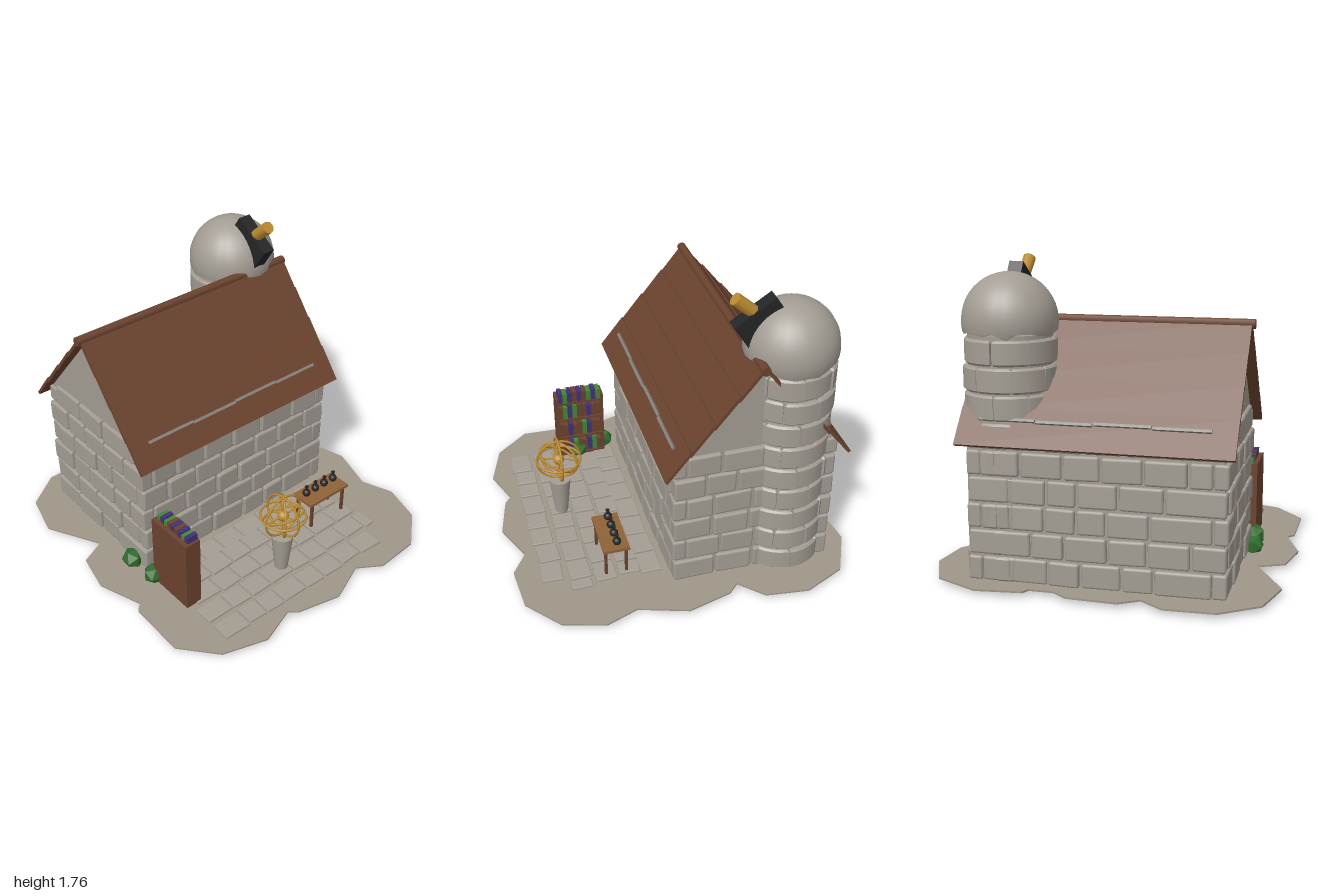
import * as THREE from 'three';
import { RoundedBoxGeometry } from 'three/addons/geometries/RoundedBoxGeometry.js';

const mat = (name, color, extra = {}) => {
  const m = new THREE.MeshStandardMaterial({ color, ...extra });
  m.name = name;
  return m;
};

export function createModel() {
  const M = {
    stone: mat('stone', 0xa39d93),
    dirt: mat('dirt', 0xa0978a),
    wood: mat('brown wood', 0x6b432e),
    bench: mat('light wood', 0x8f6238),
    gold: mat('gold', 0xbd8c30),
    black: mat('black', 0x252525),
    green: mat('green', 0x3f8a35),
    leaf: mat('leaf green', 0x2f6b2c, { flatShading: true }),
    purple: mat('purple', 0x43307a),
    metal: mat('grey metal', 0x85847e),
  };
  const model = new THREE.Group();
  let seed = 7;
  const rnd = (a = 0, b = 1) => {
    seed = (seed * 16807) % 2147483647;
    return a + (b - a) * (seed / 2147483647);
  };
  const group = (name, parent = model) => {
    const g = new THREE.Group();
    g.name = name;
    parent.add(g);
    return g;
  };
  const add = (parent, name, geo, m, x = 0, y = 0, z = 0) => {
    const mesh = new THREE.Mesh(geo, m);
    mesh.name = name;
    mesh.position.set(x, y, z);
    parent.add(mesh);
    return mesh;
  };
  const box = (parent, name, m, w, h, d, x, y, z) =>
    add(parent, name, new THREE.BoxGeometry(w, h, d), m, x, y, z);

  // Thin ground slab with a scalloped rim
  const rim = [[-.96, -.58], [-.89, -.84], [-.68, -.99], [-.4, -1], [-.27, -.91], [-.16, -.98],
    [.12, -.97], [.2, -.91], [.34, -.91], [.36, -.95], [.62, -.98], [.87, -.86], [.98, -.62], [.95, -.37],
    [.82, -.24], [.88, -.18], [.95, .08], [.86, .36], [.93, .55], [.86, .79], [.66, .96], [.39, .98],
    [.25, .89], [.01, .99], [-.25, .93], [-.3, .89], [-.52, .97], [-.78, .89], [-.95, .69],
    [-.94, .34], [-.9, .3], [-.99, .04], [-.94, -.19], [-.79, -.26]];
  const slab = new THREE.ExtrudeGeometry(
    new THREE.Shape(rim.map(([x, z]) => new THREE.Vector2(x, -z))), { depth: .01, bevelEnabled: false });
  slab.rotateX(-Math.PI / 2);
  add(model, 'ground', slab, M.dirt, 0, .036, 0);

  // Paving stones in staggered rows
  const paving = group('paving');
  [[.21, -.66, .62], [.33, -.62, .58], [.47, -.66, .6], [.615, -.7, .63], [.765, -.7, .55]].forEach(([z, x0, x1]) => {
    for (let x = x0; x < x1 - .06;) {
      const w = Math.min(rnd(.13, .185), x1 - x);
      const tile = add(paving, 'pavingStone', new RoundedBoxGeometry(w - .012, .02, .125, 1, .005), M.stone,
        x + w / 2, .048, z + rnd(-.006, .006));
      tile.rotation.y = rnd(-.05, .05);
      x += w;
    }
  });

  // House core with gable ends
  const house = group('house');
  const profile = new THREE.Shape([[.455, .04], [.455, .87], [0, 1.405], [-.455, .87], [-.455, .04]]
    .map(([z, y]) => new THREE.Vector2(-z, y)));
  const core = new THREE.ExtrudeGeometry(profile, { depth: 1.37, bevelEnabled: false });
  core.rotateY(Math.PI / 2);
  add(house, 'wallCore', core, M.stone, -.685, 0, -.365);

  // Stone courses; corners interlock on alternate rows
  const ROW = .146, BASE = .045;
  const wall = (name, half, reach, x, z, turn, low) => {
    const g = group(name, house);
    g.position.set(x, 0, z);
    g.rotation.y = turn;
    for (let r = 0; r < 6; r++) {
      const end = half - ((r + low) % 2 ? .075 : 0);
      const h = (low && r === 5 ? .1 : ROW - .012);
      for (let u = -end; u < end - .01;) {
        let w = rnd(.16, .26);
        if (end - u - w < .1) w = end - u;
        const s = add(g, 'wallStone', new RoundedBoxGeometry(w - .012, h, .08, 1, .014), M.stone,
          u + w / 2, BASE + r * ROW + h / 2, reach - .04 + rnd(-.005, .006));
        s.rotation.set(rnd(-.03, .03), rnd(-.03, .03), rnd(-.02, .02));
        u += w;
      }
    }
  };
  wall('frontWall', .705, .475, 0, -.365, 0, 1);
  wall('backWall', .705, .475, 0, -.365, Math.PI, 1);
  wall('leftWall', .475, .705, 0, -.365, Math.PI / 2, 0);
  wall('rightWall', .475, .705, 0, -.365, -Math.PI / 2, 0);

  // Roof: two slopes of overlapping planks, each with a metal rail
  const roof = group('roof');
  for (const turn of [0, Math.PI]) {
    const side = group(turn ? 'backSlope' : 'frontSlope', roof);
    side.position.set(0, 1.425, -.365);
    side.rotation.y = turn;
    const slope = group('slope', side);
    slope.rotation.x = .864;
    for (let i = 0; i < 4; i++) {
      const p = box(slope, 'roofPlank', M.wood, 1.49, .018, .225, 0, 0, .105 + i * .2);
      p.rotation.x = .035;
    }
    for (let i = 0; i < 4; i++)
      box(slope, 'roofRail', M.metal, .305, .014, .016, -.475 + i * .312, .02, .665 + (i % 2) * .006);
  }
  const ridge = add(roof, 'ridgeBeam', new THREE.CylinderGeometry(.027, .027, 1.515, 8), M.wood, -.005, 1.42, -.365);
  ridge.rotation.z = Math.PI / 2;

  // Round tower of curved stones
  const tower = group('tower');
  tower.position.set(.53, 0, -.585);
  add(tower, 'towerCore', new THREE.CylinderGeometry(.232, .232, 1.33, 24), M.stone, 0, .705, 0);
  for (let r = 0; r < 9; r++) {
    const n = 8, step = Math.PI * 2 / n;
    for (let i = 0; i < n; i++) {
      const a = (i + (r % 2) / 2) * step, b = a + step - .1 + rnd(-.03, .03), R = .242 + rnd(-.005, .006);
      const arc = new THREE.Shape();
      arc.absarc(0, 0, R, a, b, false);
      arc.absarc(0, 0, .19, b, a, true);
      const geo = new THREE.ExtrudeGeometry(arc, { depth: ROW - .034, bevelSize: .011, bevelThickness: .011, bevelSegments: 1, curveSegments: 5 });
      geo.rotateX(-Math.PI / 2);
      add(tower, 'towerStone', geo, M.stone, 0, BASE + .011 + r * ROW, 0);
    }
  }

  // Dome with an uneven lower edge
  const dome = new THREE.SphereGeometry(.262, 24, 14, 0, Math.PI * 2, 0, 1.9);
  const dp = dome.attributes.position;
  for (let i = 0; i < 24; i++) {
    const k = 14 * 25 + i, y = dp.getY(k) + rnd(0, .045);
    dp.setY(k, y);
    if (i === 0) dp.setY(k + 24, y);
  }
  add(tower, 'dome', dome, M.stone, 0, 1.43, 0);

  // Telescope and its slot
  const scope = group('telescope');
  scope.position.x = .53;
  box(scope, 'telescopeSlot', M.black, .08, .19, .27, 0, 1.585, -.41).rotation.x = .585;
  const tube = add(scope, 'telescopeTube', new THREE.CylinderGeometry(.037, .037, .24, 8), M.gold, 0, 1.665, -.347);
  tube.rotation.x = .86;

  // Bookcase, open toward +x, with books inside and on top
  const shelf = group('bookcase');
  shelf.position.set(-.67, 0, .355);
  box(shelf, 'backBoard', M.wood, .03, .46, .31, -.035, .28, 0);
  for (const s of [-1, 1]) box(shelf, 'sideBoard', M.wood, .1, .46, .016, 0, .28, s * .147);
  for (const y of [.06, .195, .335, .465]) box(shelf, 'shelfBoard', M.wood, .1, .014, .3, 0, y, 0);
  const colors = [M.purple, M.green, M.purple, M.wood, M.purple, M.wood, M.green, M.purple, M.green];
  colors.forEach((c, i) =>
    box(shelf, 'topBook', c, .07, .08, .027, .012, .508 - (c === M.green ? .008 : 0), .125 - i * .031));
  [.067, .202, .342].forEach((y, r) => {
    for (let i = 0; i < 9; i++) {
      const h = rnd(.08, .1), c = i === [7, 5, 3][r] || i === [6, 2, 4][r] - 3 ? M.green : i % 4 === 2 ? M.purple : M.wood;
      box(shelf, 'book', c, .06, h, .027, .008, y + h / 2, .125 - i * .031);
    }
  });

  // Bench with four flasks
  const bench = group('bench');
  bench.position.set(.42, 0, .405);
  box(bench, 'benchTop', M.bench, .32, .018, .155, 0, .24, 0);
  for (const x of [-.13, .13]) for (const z of [-.06, .06])
    box(bench, 'benchLeg', M.wood, .016, .19, .016, x, .14, z);
  for (let i = 0; i < 4; i++) {
    const x = -.113 + i * .075;
    add(bench, 'flask', new THREE.SphereGeometry(.025, 12, 8), M.black, x, .273, -.012);
    add(bench, 'flaskNeck', new THREE.CylinderGeometry(.008, .008, .03, 8), M.black, x, .302, -.012);
    add(bench, 'flaskLip', new THREE.CylinderGeometry(.013, .011, .008, 8), M.black, x, .317, -.012);
  }

  // Armillary sphere on a tapered pedestal
  const globe = group('armillary');
  globe.position.set(-.085, 0, .6);
  add(globe, 'pedestal', new THREE.CylinderGeometry(.066, .038, .255, 16), M.stone, 0, .173, 0);
  const rings = group('rings', globe);
  rings.position.y = .447;
  [[0, 0, 0], [0, Math.PI / 2, 0], [Math.PI / 2, 0, 0], [Math.PI / 2 - .45, 0, 0], [0, .95, 0]].forEach(([x, y, z], i) => {
    const ring = add(rings, 'ring', new THREE.TorusGeometry(i > 2 ? .122 : .132, .007, 6, 28), M.gold);
    ring.rotation.set(x, y, z);
  });
  add(rings, 'core', new THREE.SphereGeometry(.034, 14, 10), M.gold);
  for (const [x, z] of [[0, 0], [Math.PI / 2 - .25, 0], [0, Math.PI / 2]]) {
    const rod = add(rings, 'axisRod', new THREE.CylinderGeometry(.005, .005, .27, 6), M.gold);
    rod.rotation.set(x, 0, z);
  }

  // Shrubs
  const shrubs = group('shrubs');
  [[-.73, .075, .0, .067], [-.715, .08, .19, .066], [-.65, .07, .375, .066], [-.55, .05, -.43, .045], [.43, .05, -.63, .045]]
    .forEach(([x, y, z, r], i) => {
      const s = add(shrubs, 'shrub', new THREE.IcosahedronGeometry(r, 0), M.leaf, x, y, z);
      s.rotation.y = i * 1.3;
    });
  return model;
}
